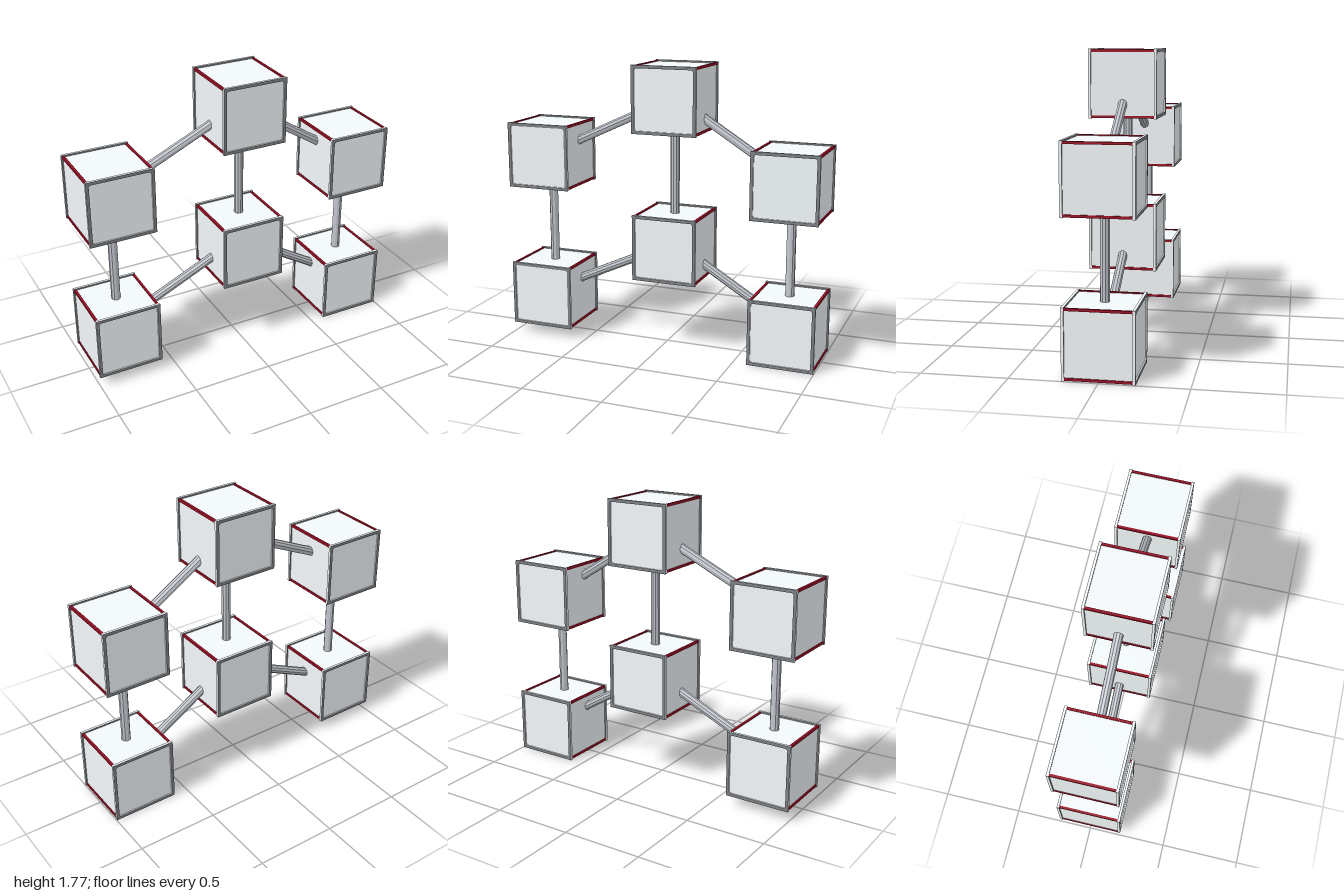
import * as THREE from 'three';

const SIZE = 0.41, H = SIZE / 2;
const panelGrey = new THREE.MeshStandardMaterial({ color: 0xf3f8fa });
const rimGrey = new THREE.MeshStandardMaterial({ color: 0x7c7f84 });
const rodGrey = new THREE.MeshStandardMaterial({ color: 0xc3c7ce, flatShading: true });
const red = new THREE.MeshStandardMaterial({ color: 0x9c1026 });

// Square rim with a rounded opening
function frameGeometry() {
  const o = H, i = 0.186, r = 0.014;
  const shape = new THREE.Shape([[-o, -o], [o, -o], [o, o], [-o, o]].map(p => new THREE.Vector2(...p)));
  const hole = new THREE.Path();
  hole.moveTo(-i + r, -i);
  hole.lineTo(i - r, -i);
  hole.absarc(i - r, -i + r, r, -Math.PI / 2, 0);
  hole.absarc(i - r, i - r, r, 0, Math.PI / 2);
  hole.absarc(-i + r, i - r, r, Math.PI / 2, Math.PI);
  hole.absarc(-i + r, -i + r, r, Math.PI, Math.PI * 1.5);
  shape.holes.push(hole);
  return new THREE.ExtrudeGeometry(shape, { depth: 0.016, bevelEnabled: false, curveSegments: 4 })
    .translate(0, 0, -0.008);
}

const frameGeo = frameGeometry();
const bodyGeo = new THREE.BoxGeometry(0.39, 0.39, 0.392);
const stripGeo = new THREE.BoxGeometry(0.015, 0.015, 0.38);

function add(parent, name, geometry, material, x = 0, y = 0, z = 0) {
  const mesh = new THREE.Mesh(geometry, material);
  mesh.name = name;
  mesh.position.set(x, y, z);
  parent.add(mesh);
  return mesh;
}

// Pale cube with a dark-faced rim at front and back and red strips along the depth edges
function createCube([x, y]) {
  const cube = new THREE.Group();
  cube.name = 'cube';
  cube.position.set(x, y, 0);
  add(cube, 'cubeBody', bodyGeo, panelGrey);
  for (const s of [1, -1]) {
    add(cube, s > 0 ? 'frontFrame' : 'backFrame', frameGeo, [rimGrey, panelGrey], 0, 0, s * (H - 0.009));
    for (const t of [1, -1]) add(cube, 'edgeStrip', stripGeo, red, s * 0.194, t * 0.194, 0);
  }
  return cube;
}

// Faceted rod running between two cube centres
function createRod(parent, a, b) {
  const from = new THREE.Vector3(...a, 0), to = new THREE.Vector3(...b, 0);
  const dir = to.clone().sub(from);
  const rod = add(parent, 'connectingRod', new THREE.CylinderGeometry(0.028, 0.028, dir.length(), 10), rodGrey);
  rod.position.copy(from).add(to).multiplyScalar(0.5);
  rod.quaternion.setFromUnitVectors(new THREE.Vector3(0, 1, 0), dir.normalize());
}

export function createModel() {
  const model = new THREE.Group();
  model.name = 'cubeLattice';
  const upper = [[-0.794, 1.182], [0.05, 1.57], [0.793, 1.103]];
  const lower = [[-0.794, 0.272], [0.05, 0.658], [0.793, 0.208]];
  for (const row of [upper, lower]) {
    row.forEach(p => model.add(createCube(p)));
    createRod(model, row[0], row[1]);
    createRod(model, row[1], row[2]);
  }
  upper.forEach((p, i) => createRod(model, p, lower[i]));
  return model;
}
